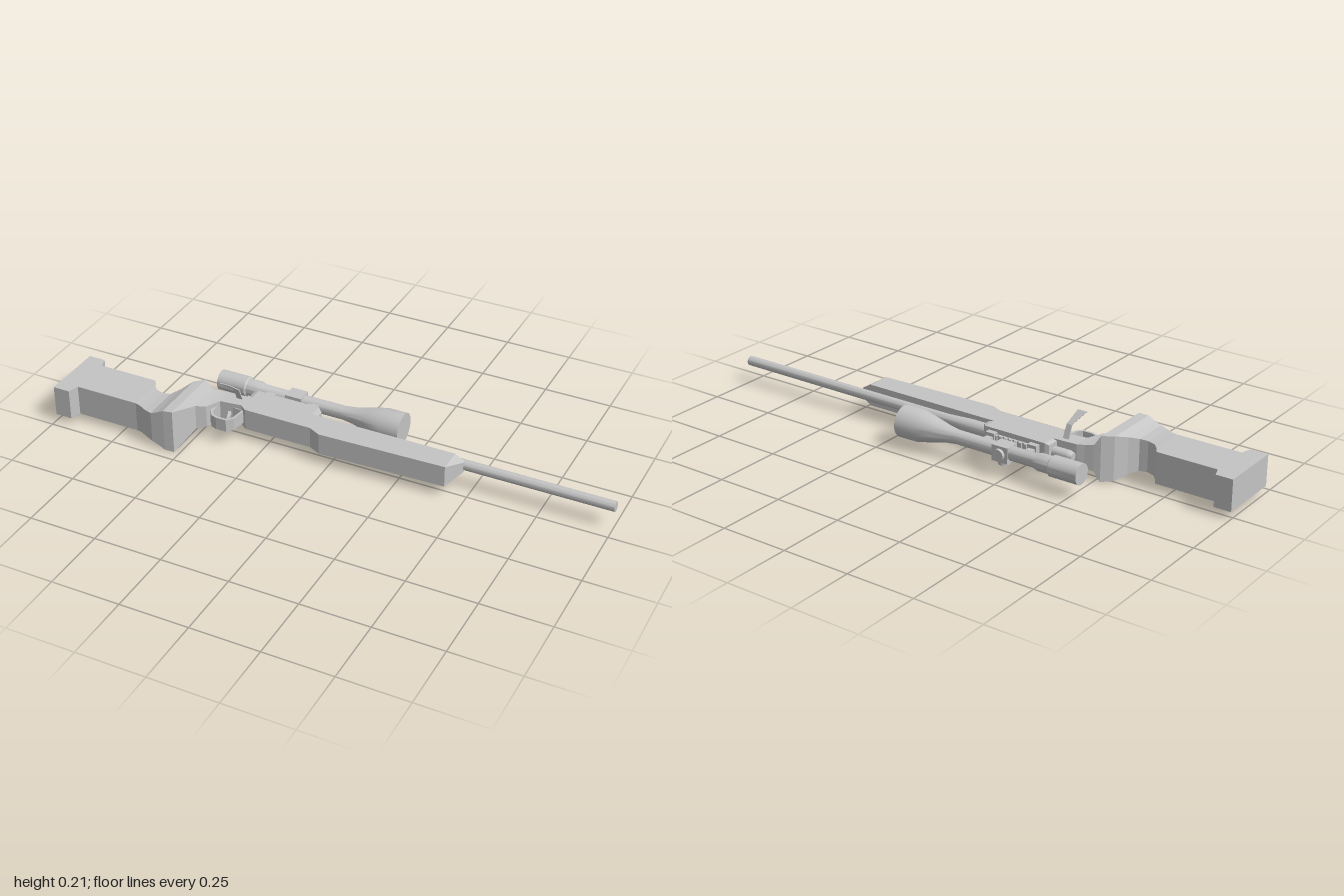
import * as THREE from 'three';
import { toCreasedNormals } from 'three/addons/utils/BufferGeometryUtils.js';

const MID = 0.083; // height of the symmetry plane (the rifle lies on its side)

// Skin a list of four-cornered sections, with caps at both ends
function loft(sections) {
  const pos = [];
  const quad = (a, b, c, d) => pos.push(...a, ...b, ...c, ...a, ...c, ...d);
  for (let i = 0; i < sections.length - 1; i++) {
    const s = sections[i], t = sections[i + 1];
    for (let j = 0; j < 4; j++) {
      const k = (j + 1) % 4;
      quad(s[j], s[k], t[k], t[j]);
    }
  }
  const s = sections[0], e = sections[sections.length - 1];
  quad(s[3], s[2], s[1], s[0]);
  quad(e[0], e[1], e[2], e[3]);
  const g = new THREE.BufferGeometry();
  g.setAttribute('position', new THREE.Float32BufferAttribute(pos, 3));
  g.computeVertexNormals();
  return g;
}

// Rectangular section across x: top z, bottom z, half thickness
const across = ([x, zt, zb, h]) => [
  [x, MID + h, zt], [x, MID + h, zb], [x, MID - h, zb], [x, MID - h, zt]];

// Turned part along x, from [x, radius] pairs
function turned(profile, sides) {
  const g = new THREE.LatheGeometry(profile.map(([x, r]) => new THREE.Vector2(r, x)), sides);
  g.rotateZ(-Math.PI / 2);
  return toCreasedNormals(g, 0.5);
}

export function createModel() {
  const grey = new THREE.MeshStandardMaterial({ color: 0xc4c4c4 });
  grey.name = 'light grey';
  const model = new THREE.Group();
  model.name = 'scopedRifle';
  const add = (name, geometry, x = 0, y = 0, z = 0) => {
    const m = new THREE.Mesh(geometry, grey);
    m.name = name;
    m.position.set(x, y, z);
    model.add(m);
    return m;
  };
  const box = (name, x0, x1, z0, z1, h) => add(name,
    new THREE.BoxGeometry(x1 - x0, 2 * h, z1 - z0), (x0 + x1) / 2, MID, (z0 + z1) / 2);

  // Stock: butt, thumb notch, flared grip, trigger recess and fore-end
  add('stock', loft([
    [-1, -0.015, 0.22, 0.057], [-0.937, -0.015, 0.22, 0.057],
    [-0.925, 0.022, 0.18, 0.057], [-0.7, 0.022, 0.18, 0.057],
    [-0.685, 0.048, 0.18, 0.057], [-0.665, 0.07, 0.185, 0.056],
    [-0.635, 0.08, 0.2, 0.056], [-0.605, 0.075, 0.212, 0.058],
    [-0.58, 0.045, 0.212, 0.068], [-0.555, 0, 0.212, 0.081],
    [-0.52, -0.028, 0.208, 0.083], [-0.497, -0.035, 0.09, 0.047],
    [-0.465, -0.042, 0.07, 0.042], [-0.44, -0.05, 0.015, 0.04],
    [-0.36, -0.055, 0.005, 0.04], [-0.335, -0.055, 0.025, 0.04],
    [-0.08, -0.055, 0.025, 0.04], [-0.035, -0.055, 0.047, 0.04],
    [0.43, -0.055, 0.033, 0.04], [0.465, -0.055, -0.045, 0.02],
  ].map(across)));

  // Receiver with a sloped front edge
  add('receiver', loft([
    [-0.365, -0.1, -0.04, 0.034], [-0.35, -0.105, -0.04, 0.04],
    [-0.11, -0.105, -0.04, 0.04], [-0.09, -0.085, -0.04, 0.035],
  ].map(across)));

  // Barrel, thicker at the breech
  add('barrel', turned([[-0.11, 0], [-0.11, 0.025], [-0.02, 0.025], [0.08, 0.019],
    [1, 0.018], [1, 0]], 20), 0, MID, -0.063);

  // Bolt and its thin bent handle
  add('bolt', turned([[-0.44, 0], [-0.44, 0.014], [-0.425, 0.02], [-0.36, 0.02], [-0.36, 0]], 16),
    0, MID, -0.068);
  const t = 0.0025;
  add('boltHandle', loft([
    [-0.388, 0.085, -0.045, 0.013], [-0.386, 0.125, -0.031, 0.011],
    [-0.388, 0.17, -0.015, 0.01], [-0.41, 0.209, 0.028, 0.018],
  ].map(([x, y, z, w]) => [
    [x - w, y, z + t], [x + w, y, z + t], [x + w, y, z - t], [x - w, y, z - t]])));

  // Trigger guard: a flat bent band
  const band = (pts) => pts.map(([x, z]) => new THREE.Vector2(x, z));
  const guardShape = new THREE.Shape(band([[-0.455, 0], [-0.455, 0.06], [-0.435, 0.085],
    [-0.415, 0.092], [-0.375, 0.092], [-0.355, 0.07], [-0.347, 0.01]]));
  guardShape.holes.push(new THREE.Path(band([[-0.445, 0.005], [-0.355, 0.012], [-0.363, 0.066],
    [-0.379, 0.083], [-0.412, 0.083], [-0.43, 0.077], [-0.445, 0.057]])));
  const guard = new THREE.ExtrudeGeometry(guardShape, { depth: 0.048, bevelEnabled: false });
  guard.rotateX(Math.PI / 2);
  add('triggerGuard', guard, 0, MID + 0.024, 0);

  // Trigger
  add('trigger', loft([
    [-0.41, 0.0, 0.012, 0.006], [-0.4, 0.005, 0.035, 0.006], [-0.39, 0.03, 0.062, 0.005],
  ].map(across)));

  // Toothed rail and scope mounts
  box('rail', -0.33, -0.115, -0.112, -0.1, 0.022);
  for (let i = 0; i < 7; i++) {
    const x = -0.285 + i * 0.02;
    box('railTooth', x, x + 0.011, -0.119, -0.11, 0.022);
  }
  for (const x of [-0.33, -0.16]) {
    box('mountFoot', x, x + 0.036, -0.125, -0.1, 0.03);
    box('mountPost', x + 0.004, x + 0.03, -0.15, -0.12, 0.018);
  }

  // Scope with eyepiece, tube and objective bell
  add('scope', turned([[-0.535, 0], [-0.535, 0.037], [-0.425, 0.037], [-0.42, 0.031],
    [-0.375, 0.031], [-0.355, 0.025], [-0.04, 0.025], [0, 0.03], [0.055, 0.043],
    [0.115, 0.057], [0.19, 0.058], [0.19, 0]], 32), 0, MID + 0.002, -0.165);

  // Adjustment turret: collar, top knob and side knob
  box('turretCollar', -0.262, -0.198, -0.193, -0.137, 0.029);
  const topKnob = add('topKnob', new THREE.CylinderGeometry(0.021, 0.021, 0.02, 16), -0.23, MID, -0.195);
  topKnob.rotation.x = Math.PI / 2;
  add('sideKnob', new THREE.CylinderGeometry(0.021, 0.021, 0.02, 16), -0.23, MID - 0.033, -0.165);

  return model;
}
